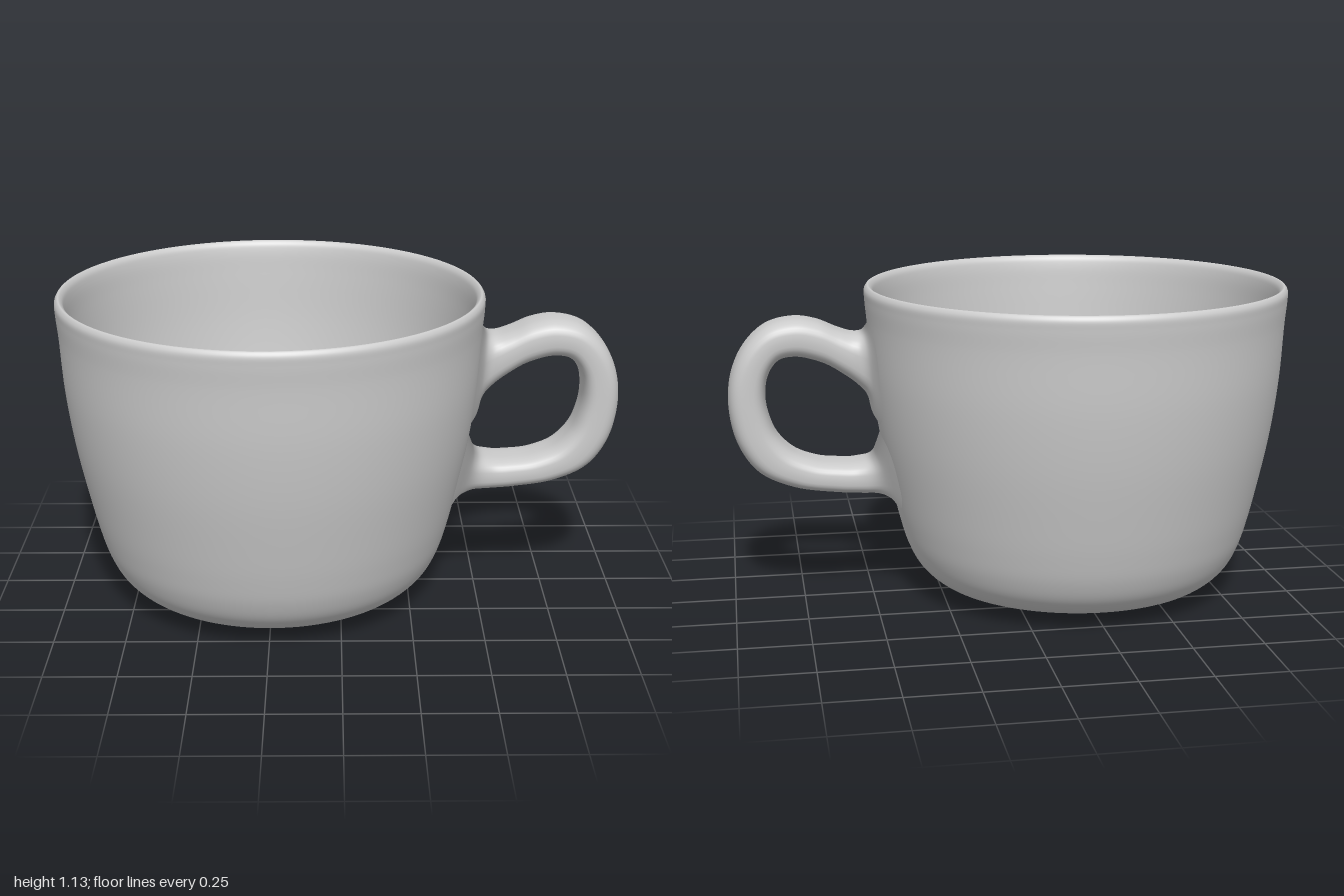
import * as THREE from 'three';

const CUP_X = -0.245;

// Smooth curve through [a, b, c] or [a, b] points
const curve = (pts) => new THREE.CatmullRomCurve3(pts.map(([a, b, c = 0]) => new THREE.Vector3(a, b, c)));

// Turned shape from [radius, height] points, listed so the outside faces out
function turned(name, pts, steps, material) {
  const profile = curve(pts).getPoints(steps).map((p) => new THREE.Vector2(Math.max(p.x, 0), p.y));
  const mesh = new THREE.Mesh(new THREE.LatheGeometry(profile, 96), material);
  mesh.name = name;
  mesh.position.x = CUP_X;
  return mesh;
}

// Handle: rounded section swept between an outer and an inner outline.
// Each row: outer x, outer y, inner x, inner y, half width, wrap around the wall
function handleGeometry() {
  const rows = [
    [0.488, 1.02, 0.455, 0.62, 0.185, 1],
    [0.508, 0.99, 0.482, 0.66, 0.15, 1],
    [0.527, 0.973, 0.505, 0.735, 0.122, 0.7],
    [0.56, 0.972, 0.535, 0.78, 0.11, 0.3],
    [0.61, 0.988, 0.59, 0.825, 0.104, 0.1],
    [0.68, 1.018, 0.67, 0.872, 0.102, 0],
    [0.76, 1.031, 0.76, 0.895, 0.102, 0],
    [0.86, 1.008, 0.82, 0.883, 0.102, 0],
    [0.94, 0.935, 0.857, 0.83, 0.102, 0],
    [0.988, 0.83, 0.868, 0.755, 0.102, 0],
    [0.998, 0.71, 0.858, 0.685, 0.102, 0],
    [0.968, 0.58, 0.83, 0.615, 0.102, 0],
    [0.90, 0.483, 0.77, 0.553, 0.102, 0],
    [0.78, 0.425, 0.69, 0.52, 0.102, 0],
    [0.63, 0.40, 0.60, 0.509, 0.104, 0.1],
    [0.54, 0.393, 0.54, 0.511, 0.108, 0.4],
    [0.478, 0.389, 0.495, 0.524, 0.12, 0.8],
    [0.433, 0.365, 0.477, 0.56, 0.14, 1],
    [0.392, 0.30, 0.456, 0.62, 0.175, 1],
  ];
  const outer = curve(rows.map((r) => [r[0], r[1], r[4]]));
  const inner = curve(rows.map((r) => [r[2], r[3], r[5]]));
  const N = 144, M = 36, pos = [], blend = [], index = [];
  const soften = (v) => Math.sign(v) * Math.pow(Math.abs(v), 0.68);
  for (let i = 0; i <= N; i++) {
    const o = outer.getPoint(i / N), n = inner.getPoint(i / N);
    for (let j = 0; j < M; j++) {
      const a = (j / M) * Math.PI * 2;
      const k = 0.5 + 0.5 * soften(Math.cos(a));
      const z = o.z * soften(Math.sin(a));
      const x = n.x + (o.x - n.x) * k - n.z * z * z / 1.4;
      pos.push(x, n.y + (o.y - n.y) * k, z);
      blend.push(THREE.MathUtils.clamp(n.z, 0, 1) ** 2);
      if (i < N) {
        const p = i * M + j, q = i * M + (j + 1) % M;
        index.push(p, q, p + M, q, q + M, p + M);
      }
    }
  }
  const g = new THREE.BufferGeometry();
  g.setAttribute('position', new THREE.Float32BufferAttribute(pos, 3));
  g.setIndex(index);
  g.computeVertexNormals();

  // Ease the shading into the cup wall at both roots
  const normals = g.attributes.normal, v = new THREE.Vector3(), wall = new THREE.Vector3();
  blend.forEach((w, i) => {
    wall.set(pos[i * 3] - CUP_X, -0.1, pos[i * 3 + 2]).normalize();
    v.fromBufferAttribute(normals, i).lerp(wall, w * 0.9).normalize();
    normals.setXYZ(i, v.x, v.y, v.z);
  });
  return g;
}

export function createModel() {
  const group = new THREE.Group();
  group.name = 'cup';
  const material = new THREE.MeshStandardMaterial({ color: 0xcccccc });

  // Body: up the outer wall, over the rim, down the inside to the bowled floor
  group.add(turned('body', [
    [0.46, 0.052], [0.492, 0.049], [0.535, 0.073], [0.58, 0.12], [0.615, 0.19], [0.642, 0.28],
    [0.67, 0.4], [0.71, 0.6], [0.736, 0.8], [0.748, 1.0], [0.755, 1.08], [0.755, 1.115],
    [0.743, 1.13], [0.729, 1.118], [0.721, 1.09], [0.713, 1.0], [0.698, 0.8], [0.672, 0.6],
    [0.63, 0.41], [0.575, 0.26], [0.49, 0.165], [0.37, 0.111], [0.2, 0.083], [0, 0.075],
  ], 138, material));

  // Shallow domed underside, set just inside the edge of the body
  group.add(turned('base', [
    [0, 0], [0.2, 0.004], [0.34, 0.016], [0.43, 0.033], [0.48, 0.051],
  ], 20, material));

  const handle = new THREE.Mesh(handleGeometry(), material);
  handle.name = 'handle';
  group.add(handle);
  return group;
}
